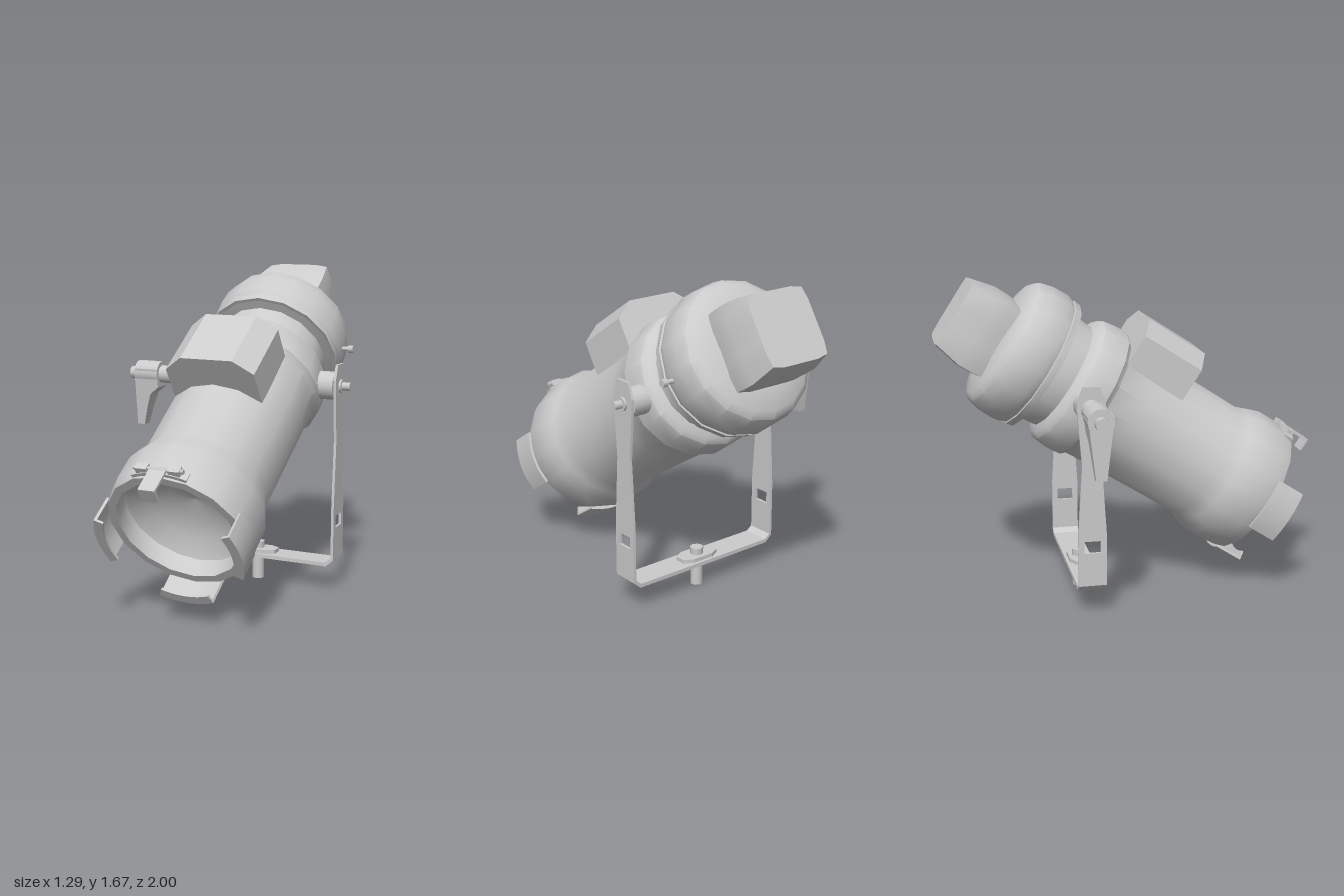
import * as THREE from 'three';
import { toCreasedNormals } from 'three/addons/utils/BufferGeometryUtils.js';

const material = new THREE.MeshStandardMaterial({ color: 0xcccccc, side: THREE.DoubleSide });
const V = (x, y) => new THREE.Vector2(x, y);

function add(parent, name, geometry, x = 0, y = 0, z = 0) {
  const mesh = new THREE.Mesh(geometry, material);
  mesh.name = name;
  mesh.position.set(x, y, z);
  parent.add(mesh);
  return mesh;
}

function lathe(points, sides) {
  return new THREE.LatheGeometry(points.map(p => V(...p)), sides);
}

function extrude(shape, depth) {
  return new THREE.ExtrudeGeometry(shape, { depth, bevelEnabled: false });
}

const polygon = pts => new THREE.Shape(pts.map(p => V(...p)));

// Cylinder lying along x between x0 and x1
function rod(parent, name, x0, x1, r0, y, z, r1 = r0, sides = 16) {
  const g = new THREE.CylinderGeometry(r1, r0, x1 - x0, sides).rotateZ(-Math.PI / 2);
  return add(parent, name, g, (x0 + x1) / 2, y, z);
}

// Curved plate hugging the barrel, between y0 and y1 along its axis
function arcPlate(r0, r1, y0, y1, half) {
  const s = new THREE.Shape();
  s.absarc(0, 0, r1, Math.PI / 2 - half, Math.PI / 2 + half, false);
  s.absarc(0, 0, r0, Math.PI / 2 + half, Math.PI / 2 - half, true);
  const g = new THREE.ExtrudeGeometry(s, { depth: y1 - y0, bevelEnabled: false, curveSegments: 4 });
  return toCreasedNormals(g.rotateX(Math.PI / 2).translate(0, y1, 0), 0.5);
}

// Tilted lamp: local y runs from lens to rear, local z is its top
function buildLamp() {
  const lamp = new THREE.Group();
  lamp.name = 'lamp';

  // Barrel with recessed lens bowl, front collar, middle ring and rear cap
  const lens = [[0, 0.22], [0.12, 0.205], [0.23, 0.165], [0.315, 0.1]];
  add(lamp, 'lens', lathe(lens, 16));
  const barrel = [
    [0.315, 0.1], [0.32, 0], [0.362, 0], [0.378, 0.06], [0.378, 0.2], [0.355, 0.27], [0.332, 0.33],
    [0.336, 0.87], [0.342, 1.03], [0.366, 1.06], [0.366, 1.12], [0.355, 1.2], [0.33, 1.225],
    [0.295, 1.24], [0.3, 1.345], [0.345, 1.35]];
  add(lamp, 'barrel', toCreasedNormals(lathe(barrel, 16), 0.65));
  const cap = [
    [0.3, 1.35], [0.362, 1.35], [0.366, 1.385], [0.358, 1.388], [0.374, 1.43], [0.37, 1.52],
    [0.352, 1.59], [0.318, 1.62], [0.2, 1.645], [0, 1.645]];
  add(lamp, 'rearCap', toCreasedNormals(lathe(cap, 16), 0.65));

  // Lamp housing: a turned shape pushed out to a rounded square
  const housing = lathe([[0.2, 1.6], [0.208, 1.68], [0.208, 1.76], [0.178, 1.9], [0, 1.9]], 24);
  const pos = housing.attributes.position;
  for (let i = 0; i < pos.count; i++) {
    const x = pos.getX(i), z = pos.getZ(i), r = Math.hypot(x, z);
    if (r < 1e-6) continue;
    const k = Math.pow(Math.abs(x / r) ** 10 + Math.abs(z / r) ** 10, -0.1);
    pos.setX(i, x * k);
    pos.setZ(i, z * k);
  }
  add(lamp, 'lampHousing', toCreasedNormals(housing, 0.7));

  // Shutter box on top of the barrel
  const boxShape = polygon([[-0.24, 0.2], [0.24, 0.2], [0.24, 0.415], [0.14, 0.494], [-0.14, 0.494], [-0.24, 0.415]]);
  add(lamp, 'shutterBox', extrude(boxShape, 0.35).rotateX(Math.PI / 2), 0, 1.035, 0);

  // Three curved filter holders round the front
  for (const turn of [1, 2, 3]) {
    const holder = new THREE.Group();
    holder.name = 'filterHolder';
    holder.rotation.y = turn * Math.PI / 2;
    add(holder, 'holderPlate', arcPlate(0.37, 0.384, -0.12, 0.035, 0.39));
    add(holder, 'holderLip', arcPlate(0.335, 0.384, -0.12, -0.107, 0.39));
    lamp.add(holder);
  }

  // Top latch with its hinge
  add(lamp, 'latchArm', new THREE.BoxGeometry(0.088, 0.155, 0.013), 0, -0.037, 0.384);
  add(lamp, 'latchLip', new THREE.BoxGeometry(0.088, 0.012, 0.068), 0, -0.109, 0.352);
  add(lamp, 'latchBase', arcPlate(0.365, 0.382, 0.005, 0.06, 0.39));
  rod(lamp, 'hingePin', -0.13, 0.13, 0.011, 0.03, 0.384, 0.011, 8);
  for (const side of [-1, 1])
    add(lamp, 'hingeKnuckle', new THREE.BoxGeometry(0.06, 0.04, 0.03), side * 0.085, 0.03, 0.382);

  // Small side screw on the rear cap
  rod(lamp, 'screwStem', 0.35, 0.41, 0.012, 1.44, -0.03, 0.012, 8);
  rod(lamp, 'screwHead', 0.405, 0.432, 0.02, 1.44, -0.03, 0.02, 8);

  lamp.position.set(0, 0.487, 0.695);
  lamp.rotation.x = -THREE.MathUtils.degToRad(57);
  return lamp;
}

// U-shaped bracket with waisted arms and a mounting pin
function buildYoke() {
  const yoke = new THREE.Group();
  yoke.name = 'yoke';
  const half = [[0.072, 0.165], [0.072, 0.45], [0.05, 0.8], [0.072, 1.08], [0.072, 1.12], [0.042, 1.2]];
  const arm = polygon([...half, ...half.map(([u, y]) => [-u, y]).reverse()]);
  arm.holes.push(new THREE.Path([V(-0.042, 0.34), V(-0.042, 0.403), V(0.042, 0.403), V(0.042, 0.34)]));
  const armGeometry = extrude(arm, 0.014).translate(0, 0, -0.007).rotateY(Math.PI / 2);
  for (const side of [-1, 1]) add(yoke, 'yokeArm', armGeometry, side * 0.453);

  const base = polygon([
    [-0.46, 0.165], [-0.42, 0.13], [0.42, 0.13], [0.46, 0.165],
    [0.446, 0.172], [0.415, 0.15], [-0.415, 0.15], [-0.446, 0.172]]);
  add(yoke, 'yokeBase', extrude(base, 0.144), 0, 0, -0.072);

  const plate = polygon([[-0.11, -0.03], [-0.06, -0.055], [0.06, -0.055], [0.11, -0.03],
    [0.11, 0.03], [0.06, 0.055], [-0.06, 0.055], [-0.11, 0.03]]);
  add(yoke, 'mountPlate', extrude(plate, 0.02).rotateX(-Math.PI / 2), 0, 0.15, 0);
  add(yoke, 'mountBolt', new THREE.CylinderGeometry(0.035, 0.035, 0.035, 8), 0, 0.187, 0);
  add(yoke, 'mountPin', new THREE.CylinderGeometry(0.032, 0.032, 0.14, 16), 0, 0.07, 0);
  yoke.position.z = -0.265;
  return yoke;
}

// Pivot hubs, bolt and the tightening handle
function buildPivot() {
  const pivot = new THREE.Group();
  pivot.name = 'pivot';
  for (const side of [-1, 1]) {
    const [a, b] = [side * 0.3, side * 0.44].sort((p, q) => p - q);
    rod(pivot, 'pivotHub', a, b, 0.074, 0, 0);
  }
  rod(pivot, 'pivotBolt', 0.44, 0.515, 0.022, 0, 0, 0.022, 8);
  rod(pivot, 'boltWasher', 0.455, 0.472, 0.035, 0, 0);

  rod(pivot, 'handleNeck', -0.6, -0.44, 0.047, 0, 0, 0.054);
  rod(pivot, 'handleStud', -0.77, -0.7, 0.034, 0, 0, 0.034, 12);
  rod(pivot, 'handleHub', -0.725, -0.585, 0.066, 0.004, 0);

  // Lever narrows in depth towards its tip
  const lever = extrude(polygon([
    [-0.725, 0.03], [-0.725, -0.285], [-0.683, -0.285], [-0.66, -0.19],
    [-0.635, -0.11], [-0.585, -0.07], [-0.585, 0.03]]), 0.12).translate(0, 0, -0.06);
  const p = lever.attributes.position;
  for (let i = 0; i < p.count; i++)
    p.setZ(i, p.getZ(i) * THREE.MathUtils.mapLinear(p.getY(i), 0.03, -0.285, 1.08, 0.45));
  lever.computeVertexNormals();
  add(pivot, 'handleLever', toCreasedNormals(lever, 0.5));
  pivot.position.set(0, 1.085, -0.265);
  return pivot;
}

export function createModel() {
  const model = new THREE.Group();
  model.name = 'stageSpotlight';
  const fixture = new THREE.Group();
  fixture.name = 'fixture';
  fixture.add(buildLamp(), buildYoke(), buildPivot());
  fixture.position.x = 0.124;
  model.add(fixture);
  return model;
}
